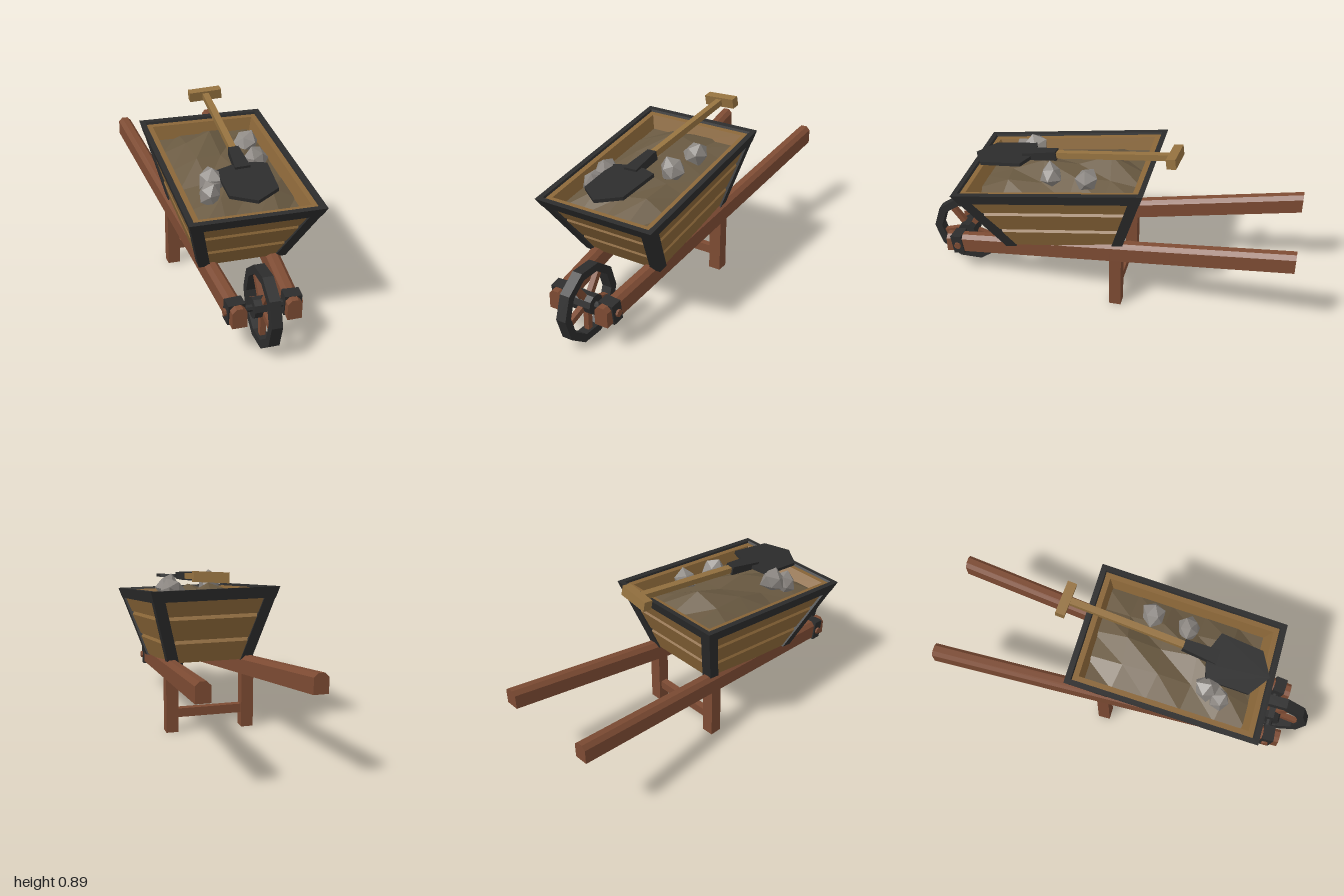
import * as THREE from 'three';

const mat = (color) => new THREE.MeshStandardMaterial({ color, flatShading: true, side: THREE.DoubleSide });
const plankWood = mat(0x8a6638), frameWood = mat(0x7d4b33), paleWood = mat(0x94713f);
const iron = mat(0x2c2c2c), soil = mat(0x6a5a42), stone = mat(0x8c8782);

function add(parent, name, geometry, material, x = 0, y = 0, z = 0) {
  const mesh = new THREE.Mesh(geometry, material);
  mesh.name = name;
  mesh.position.set(x, y, z);
  parent.add(mesh);
  return mesh;
}

// Joins cross-sections (counter-clockwise seen from the last one), with end caps.
function loft(sections, caps = true) {
  const pos = [], n = sections[0].length, last = sections[sections.length - 1];
  const tri = (a, b, c) => pos.push(...a, ...b, ...c);
  for (let i = 0; i < sections.length - 1; i++) {
    for (let j = 0; j < n; j++) {
      const k = (j + 1) % n, s = sections[i], e = sections[i + 1];
      tri(s[j], s[k], e[k]);
      tri(s[j], e[k], e[j]);
    }
  }
  if (caps) for (let j = 1; j < n - 1; j++) {
    tri(sections[0][0], sections[0][j + 1], sections[0][j]);
    tri(last[0], last[j], last[j + 1]);
  }
  const g = new THREE.BufferGeometry();
  g.setAttribute('position', new THREE.Float32BufferAttribute(pos, 3));
  g.computeVertexNormals();
  return g;
}

// Tapered tub outline: t = 0 at the floor, 1 at the rim.
const tubX = (t) => 0.225 + 0.108 * t;
const tubZ = (t) => 0.32 + 0.183 * t;
const tubY = (t) => 0.345 + 0.383 * t;
function ring([t, inset]) {
  const x = tubX(t) - inset, z = tubZ(t) - inset, y = tubY(t);
  return [[x, y, z], [x, y, -z], [-x, y, -z], [-x, y, z]];
}

function buildTub() {
  const tub = new THREE.Group();
  tub.name = 'tub';
  // three planks per wall with bevelled steps between, then the inner wall
  add(tub, 'plankWalls', loft([
    [0.01, 0.012], [0.27, 0.012], [0.32, 0.032], [0.32, 0.016], [0.6, 0.012],
    [0.65, 0.032], [0.65, 0.016], [0.97, 0.012], [0.97, 0.056], [0.6, 0.056],
  ].map(ring)), plankWood);
  add(tub, 'rim', loft([[0.85, 0], [1, 0], [1, 0.028], [0.85, 0.028], [0.85, 0]].map(ring), false), iron);

  // angled iron posts on the four corners
  for (const sx of [1, -1]) for (const sz of [1, -1]) {
    const w = 0.058, d = 0.022;
    const section = (t) => {
      const x = tubX(t) - 0.002, z = tubZ(t) - 0.002, y = tubY(t);
      const pts = [[x, z], [x, z - w], [x - d, z - w], [x - d, z - d], [x - w, z - d], [x - w, z]]
        .map(([px, pz]) => [px * sx, y, pz * sz]);
      return sx * sz > 0 ? pts : pts.reverse();
    };
    const rotate = (s) => (sx * sz > 0 ? s : [s[5], ...s.slice(0, 5)]);
    add(tub, 'cornerPost', loft([rotate(section(0)), rotate(section(0.9))]), iron);
  }

  // faceted heap of soil, highest at the back
  const heap = new THREE.PlaneGeometry(0.53, 0.9, 4, 5).rotateX(-Math.PI / 2);
  const p = heap.attributes.position;
  for (let i = 0; i < p.count; i++) {
    const x = p.getX(i), z = p.getZ(i);
    const edge = Math.min(1, 5 * Math.min(0.265 - Math.abs(x), 0.45 - Math.abs(z)));
    const bump = 0.075 + 0.02 * Math.sin(x * 23 + z * 17) + 0.035 * Math.exp(-40 * ((x + 0.1) ** 2 + (z + 0.25) ** 2));
    p.setXYZ(i, x + 0.02 * edge * Math.sin(z * 31), 0.65 + edge * bump, z + 0.04 * edge * Math.sin(x * 29));
  }
  add(tub, 'soilHeap', heap, soil);
  return tub;
}

function buildShovel() {
  const shovel = new THREE.Group();
  shovel.name = 'shovel';
  const outline = [[0, 0], [0.118, 0.075], [0.127, 0.3], [0.05, 0.325], [-0.05, 0.325], [-0.127, 0.3], [-0.118, 0.075]];
  const blade = new THREE.ExtrudeGeometry(new THREE.Shape(outline.map(([x, y]) => new THREE.Vector2(x, y))),
    { depth: 0.018, bevelEnabled: false }).rotateX(-Math.PI / 2);
  add(shovel, 'shovelBlade', blade, iron, 0, -0.012, 0);
  const socket = (z, w, h) => [[w, -h, z], [w, h, z], [-w, h, z], [-w, -h, z]];
  add(shovel, 'shovelSocket', loft([socket(-0.46, 0.026, 0.024), socket(-0.28, 0.038, 0.018)]), iron);
  add(shovel, 'shovelShaft', new THREE.BoxGeometry(0.034, 0.032, 0.66), paleWood, 0, 0, -0.76);
  add(shovel, 'shovelGrip', new THREE.BoxGeometry(0.175, 0.052, 0.048), paleWood, 0, 0, -1.085);
  shovel.position.set(0, 0.79, 0.605);
  shovel.rotation.set(0, -0.055, 0.08);
  return shovel;
}

function buildWheel() {
  const wheel = new THREE.Group();
  wheel.name = 'wheel';
  const profile = [[0.158, -0.027], [0.2, -0.027], [0.2, 0.027], [0.158, 0.027], [0.158, -0.027]];
  add(wheel, 'tyre', new THREE.LatheGeometry(profile.map(([r, y]) => new THREE.Vector2(r, y)), 10).rotateZ(Math.PI / 2), iron);
  add(wheel, 'hub', new THREE.CylinderGeometry(0.052, 0.052, 0.106, 10).rotateZ(Math.PI / 2), iron);
  add(wheel, 'axle', new THREE.CylinderGeometry(0.018, 0.018, 0.36, 8).rotateZ(Math.PI / 2), iron);
  for (let i = 0; i < 5; i++) {
    const spoke = new THREE.BoxGeometry(0.028, 0.13, 0.03).translate(0, -0.105, 0).rotateX(i * Math.PI * 2 / 5);
    add(wheel, 'spoke', spoke, frameWood);
  }
  wheel.position.set(0, 0.19, 0.8);
  return wheel;
}

// One handle with its leg and axle clamp; side is +1 (left) or -1 (right).
function buildSide(side) {
  const group = new THREE.Group();
  group.name = side > 0 ? 'leftSide' : 'rightSide';
  const section = (z) => {
    const x = side * (0.265 - 0.07 * (z + 1)), y = 0.478 - 0.155 * (z + 1), w = 0.036, h = 0.049, c = 0.02;
    return [[-w, -h], [w, -h], [w, h - c], [w - c, h], [c - w, h], [-w, h - c]].map(([a, b]) => [x + a, y + b, z]);
  };
  add(group, 'handle', loft([section(-1), section(0.872)]), frameWood);
  add(group, 'leg', new THREE.BoxGeometry(0.065, 0.33, 0.064), frameWood, side * 0.203, 0.165, -0.092);
  const clamp = add(group, 'axleClamp', new THREE.BoxGeometry(0.084, 0.108, 0.062), iron, side * 0.14, 0.194, 0.803);
  clamp.rotation.set(0.152, side * -0.07, 0);
  add(group, 'axlePeg', new THREE.CylinderGeometry(0.019, 0.019, 0.02, 8).rotateZ(Math.PI / 2), frameWood, side * 0.183, 0.192, 0.803);
  return group;
}

function rock(radius, seed) {
  const g = new THREE.IcosahedronGeometry(radius, 0);
  const p = g.attributes.position, v = new THREE.Vector3();
  for (let i = 0; i < p.count; i++) {
    v.fromBufferAttribute(p, i);
    const n = v.clone().divideScalar(radius);
    v.multiplyScalar(1 + 0.16 * Math.sin(n.x * 3.7 + n.y * 7.1 + n.z * 5.3 + seed));
    p.setXYZ(i, v.x, v.y, v.z);
  }
  return g.rotateY(seed).rotateX(seed * 0.7);
}

export function createModel() {
  const model = new THREE.Group();
  model.name = 'wheelbarrow';

  // tub and shovel share the slope of the handles
  const load = new THREE.Group();
  load.name = 'tiltedLoad';
  load.rotation.x = 0.152;
  const tub = buildTub();
  tub.position.z = 0.14;
  load.add(tub, buildShovel());
  model.add(load, buildWheel(), buildSide(1), buildSide(-1));

  add(model, 'legCrossbar', new THREE.BoxGeometry(0.36, 0.047, 0.036), frameWood, 0, 0.1, -0.092);

  // rocks resting on the soil: x, y, z, radius
  [[0.155, 0.72, 0.07, 0.062], [0.14, 0.71, 0.265, 0.062], [-0.165, 0.655, 0.5, 0.062], [-0.14, 0.69, 0.43, 0.066]]
    .forEach(([x, y, z, r], i) => add(model, 'rock', rock(r, i * 1.9 + 0.6), stone, x, y, z));

  return model;
}
